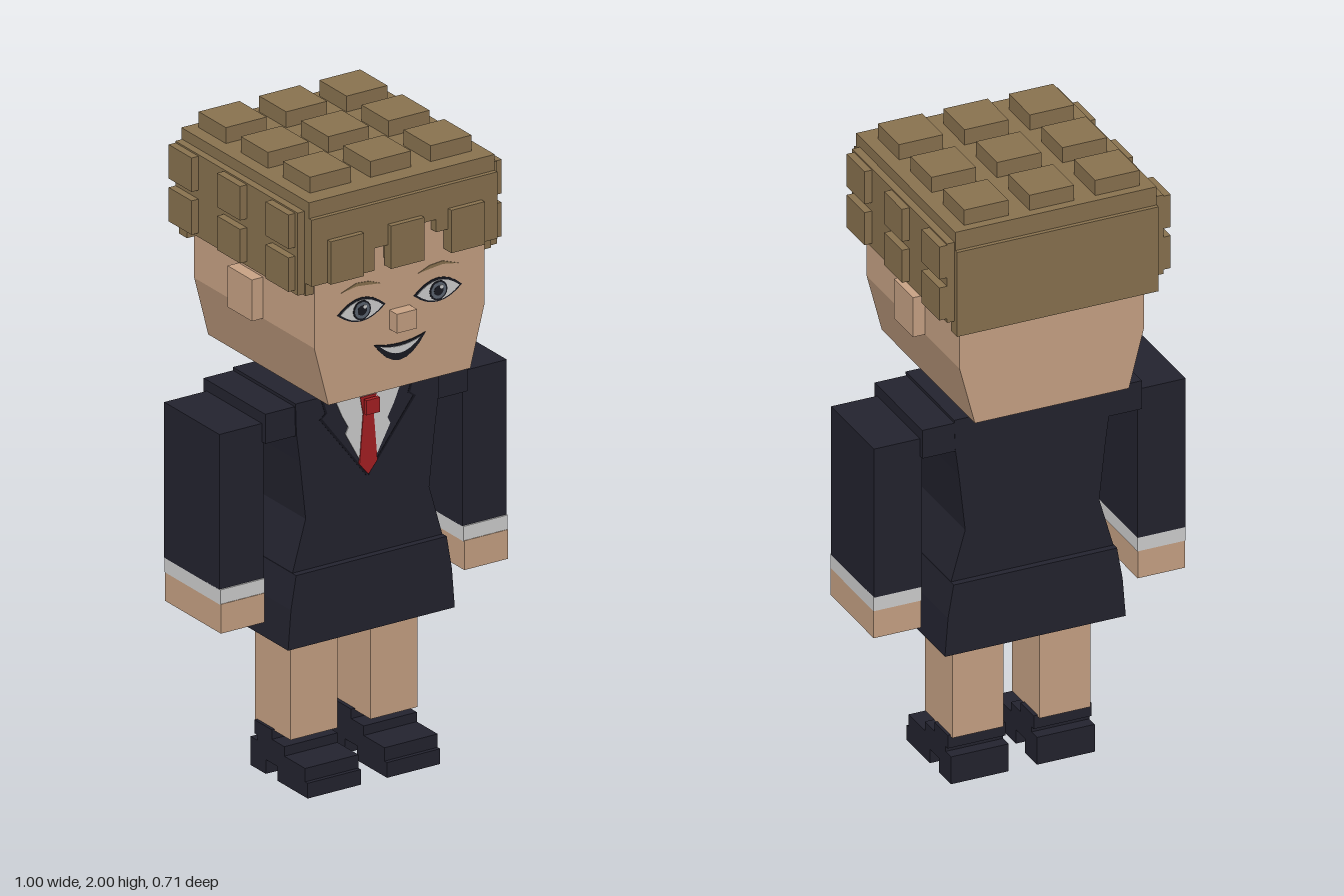
import * as THREE from 'three';

const material = (name, color) => Object.assign(new THREE.MeshStandardMaterial({ color }), { name });

export function createModel() {
  const skin = material('skin', 0xcaa486);
  const hair = material('hair brown', 0x8a7350);
  const navy = material('navy cloth', 0x23232f);
  const shade = material('lapel shade', 0x16161f);
  const white = material('white', 0xd2d2d2);
  const red = material('tie red', 0xa82024);
  const ink = material('ink', 0x191a22);
  const iris = material('iris grey', 0x5d6672);

  const model = new THREE.Group();
  model.name = 'figure';

  const group = (name) => {
    const g = new THREE.Group();
    g.name = name;
    model.add(g);
    return g;
  };
  const add = (parent, name, geometry, mat) => {
    const mesh = new THREE.Mesh(geometry, mat);
    mesh.name = name;
    parent.add(mesh);
    return mesh;
  };
  // Box from its limits on each axis
  const box = (parent, name, mat, [xa, xb], [y0, y1], [z0, z1]) => {
    const x0 = Math.min(xa, xb), x1 = Math.max(xa, xb);
    const g = new THREE.BoxGeometry(x1 - x0, y1 - y0, z1 - z0);
    g.translate((x0 + x1) / 2, (y0 + y1) / 2, (z0 + z1) / 2);
    return add(parent, name, g, mat);
  };
  const polygon = (points) => new THREE.Shape(points.map(([x, y]) => new THREE.Vector2(x, y)));
  const mirrored = (half) => [...half, ...half.map(([x, y]) => [-x, y]).reverse()];
  // Shape in the front plane, pushed from z0 to z1
  const slab = (parent, name, mat, shape, z0, z1) => {
    const g = new THREE.ExtrudeGeometry(shape, { depth: z1 - z0, bevelEnabled: false, curveSegments: 8 });
    g.translate(0, 0, z0);
    return add(parent, name, g, mat);
  };
  // Almond or crescent: two curves between the same corners
  const lens = (cx, cy, w, up, down) => {
    const s = new THREE.Shape();
    s.moveTo(cx - w, cy);
    s.quadraticCurveTo(cx, cy + 2 * up, cx + w, cy);
    s.quadraticCurveTo(cx, cy + 2 * down, cx - w, cy);
    return s;
  };
  const disc = (cx, cy, r) => new THREE.Shape().absarc(cx, cy, r, 0, Math.PI * 2);

  // Head with a tapered jaw
  const head = group('head');
  slab(head, 'skull', skin, polygon(mirrored([[0.247, 1.29], [0.296, 1.48], [0.296, 1.86]])), -0.318, 0.31);
  box(head, 'nose', skin, [-0.035, 0.035], [1.48, 1.54], [0.3, 0.35]);
  box(head, 'neck', skin, [-0.083, 0.083], [1.2, 1.3], [-0.11, 0.072]);

  // Painted face
  const face = group('face');
  const F = 0.308;
  for (const s of [-1, 1]) {
    const cx = 0.133 * s, cy = 1.564;
    box(head, 'ear', skin, [0.28 * s, 0.335 * s], [1.48, 1.61], [-0.085, 0.042]);
    slab(face, 'eyeOutline', ink, lens(cx, cy, 0.084, 0.039, -0.036), F, F + 0.004);
    slab(face, 'eyeWhite', white, lens(cx, cy, 0.074, 0.032, -0.031), F, F + 0.006);
    slab(face, 'irisRim', ink, disc(cx, cy, 0.031), F, F + 0.0072);
    slab(face, 'iris', iris, disc(cx, cy, 0.026), F, F + 0.0082);
    slab(face, 'pupil', ink, disc(cx, cy, 0.016), F, F + 0.009);
    slab(face, 'glint', white, disc(cx + 0.009, cy + 0.01, 0.006), F, F + 0.0098);
    slab(face, 'eyebrow', hair, polygon([[0.065, 1.632], [0.105, 1.648], [0.15, 1.652], [0.205, 1.632],
      [0.15, 1.642], [0.105, 1.637]].map(([x, y]) => [x * s, y])), F, F + 0.004);
  }
  slab(face, 'mouth', ink, lens(0, 1.443, 0.09, -0.014, -0.067), F, F + 0.005);
  slab(face, 'teeth', white, lens(0, 1.433, 0.07, -0.012, -0.034), F, F + 0.007);

  // Hair: cap, panels and a stepped fringe
  const hairGroup = group('hair');
  box(hairGroup, 'crown', hair, [-0.323, 0.323], [1.8, 1.95], [-0.345, 0.323]);
  box(hairGroup, 'hairCore', hair, [-0.323, 0.323], [1.65, 1.85], [-0.345, 0.305]);
  box(hairGroup, 'fringeBand', hair, [-0.323, 0.323], [1.8, 1.9], [0.3, 0.337]);
  box(hairGroup, 'backPanel', hair, [-0.323, 0.323], [1.612, 1.89], [-0.358, -0.315]);
  const fringe = [[-0.323, -0.105, 1.69], [-0.105, -0.055, 1.76], [-0.055, 0.055, 1.71],
    [0.11, 0.153, 1.76], [0.153, 0.323, 1.69]];
  for (const [x0, x1, y] of fringe) box(hairGroup, 'fringe', hair, [x0, x1], [y, 1.82], [0.3, 0.337]);
  for (const s of [-1, 1]) {
    box(hairGroup, 'sidePanel', hair, [0.3 * s, 0.347 * s], [1.655, 1.915], [-0.34, 0.3]);
  }

  // Raised square tufts on the top, front and sides
  for (const i of [-1, 0, 1]) {
    const x = 0.21 * i;
    box(hairGroup, 'frontTuft', hair, [x - 0.058, x + 0.058], [1.69, 1.825], [0.32, 0.354]);
    for (const j of [-1, 0, 1]) {
      const z = 0.22 * j - 0.026;
      box(hairGroup, 'topTuft', hair, [x - 0.071, x + 0.071], [1.94, 2], [z - 0.071, z + 0.071]);
    }
    const z = 0.253 * i - 0.026;
    for (const s of [-1, 1]) {
      for (const y of [1.668, 1.803]) {
        box(hairGroup, 'sideTuft', hair, [0.33 * s, 0.371 * s], [y, y + 0.107], [z - 0.06, z + 0.06]);
      }
    }
  }

  // Jacket body and skirt
  const outfit = group('outfit');
  slab(outfit, 'jacket', navy, polygon(mirrored([[0.262, 0.7], [0.245, 0.76], [0.215, 0.865], [0.235, 1.05],
    [0.247, 1.14], [0.25, 1.235]])), -0.185, 0.143);
  slab(outfit, 'skirt', navy, polygon(mirrored([[0.29, 0.475], [0.28, 0.6], [0.262, 0.705]])), -0.206, 0.164);

  // Shirt front, lapel edges and tie
  const T = 0.142;
  slab(outfit, 'shirt', white, polygon(mirrored([[0, 0.97], [0.035, 1.02], [0.078, 1.1], [0.068, 1.12],
    [0.09, 1.16], [0.122, 1.235]])), T, T + 0.004);
  slab(outfit, 'tie', red, polygon(mirrored([[0, 0.958], [0.031, 0.995], [0.018, 1.15], [0.028, 1.205]])), T, T + 0.007);
  box(outfit, 'tieKnot', red, [-0.024, 0.024], [1.157, 1.203], [0.16, 0.174]);
  for (const s of [-1, 1]) {
    slab(outfit, 'lapelEdge', shade, polygon([[0.165, 1.235], [0.148, 1.18], [0.168, 1.165], [0.004, 0.952],
      [0.004, 0.962], [0.158, 1.166], [0.14, 1.18], [0.158, 1.235]].map(([x, y]) => [x * s, y])), T, T + 0.002);
  }

  // Arms, legs and heeled shoes
  const shoeProfile = polygon([[0.177, 0], [0.177, 0.048], [0.164, 0.048], [0.164, 0.09], [0.055, 0.09],
    [0.055, 0.12], [-0.01, 0.12], [-0.01, 0.15], [-0.1, 0.15], [-0.1, 0.107], [-0.085, 0.107], [-0.085, 0.09],
    [-0.122, 0.09], [-0.122, 0], [-0.042, 0], [-0.042, 0.045], [0.02, 0.045], [0.02, 0]]);
  for (const s of [-1, 1]) {
    const side = s > 0 ? 'left' : 'right';
    const arm = group(side + 'Arm');
    box(arm, 'shoulder', navy, [0.2 * s, 0.352 * s], [1.132, 1.225], [-0.184, 0.138]);
    box(arm, 'sleeve', navy, [0.346 * s, 0.5 * s], [0.7, 1.19], [-0.168, 0.12]);
    box(arm, 'cuff', white, [0.346 * s, 0.5 * s], [0.655, 0.702], [-0.167, 0.125]);
    box(arm, 'hand', skin, [0.348 * s, 0.499 * s], [0.565, 0.657], [-0.165, 0.127]);

    const leg = group(side + 'Leg');
    box(leg, 'leg', skin, [0.058 * s, 0.221 * s], [0.145, 0.49], [-0.112, 0.073]);
    const shoe = new THREE.ExtrudeGeometry(shoeProfile, { depth: 0.185, bevelEnabled: false });
    shoe.rotateY(-Math.PI / 2);
    shoe.translate(0.138 * s + 0.0925, 0, 0);
    add(leg, 'shoe', shoe, navy);
  }
  return model;
}
